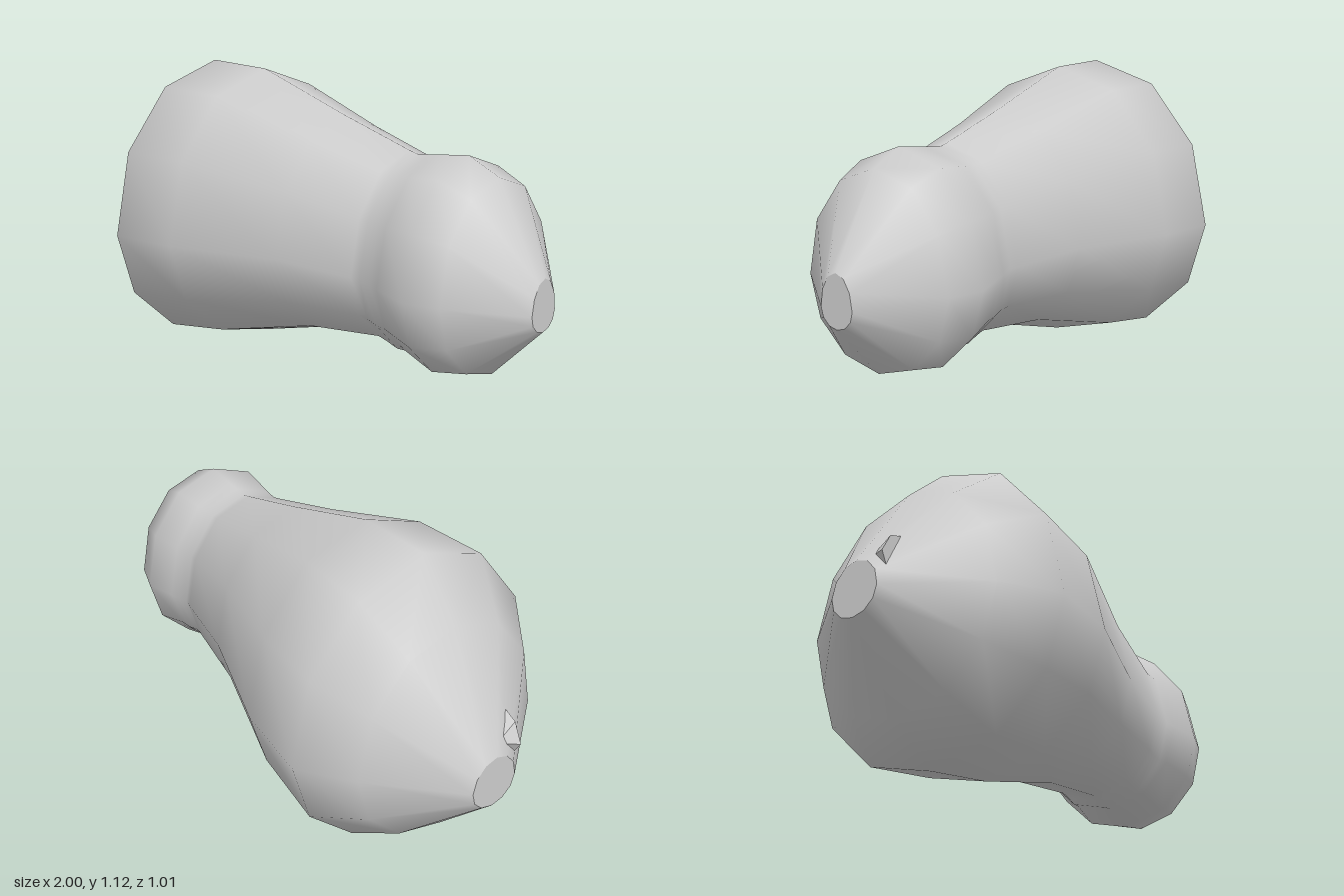
import * as THREE from 'three';

// Cross-sections along x: [x, bottom, top, half width, height of widest point]
const SECTIONS = [
  [-1, 0.37, 0.57, 0.09, 0.46],
  [-0.77, 0.12, 0.94, 0.37, 0.49],
  [-0.595, 0.005, 1.12, 0.503, 0.49],
  [-0.3, 0.06, 1.11, 0.477, 0.5],
  [0.12, 0.18, 0.98, 0.345, 0.51],
  [0.43, 0.22, 0.893, 0.287, 0.5],
  [0.465, 0.208, 0.885, 0.281, 0.5],
  [0.515, 0.195, 0.89, 0.288, 0.49],
  [0.555, 0.2, 0.895, 0.297, 0.49],
  [0.685, 0.16, 0.91, 0.325, 0.48],
  [0.81, 0.185, 0.855, 0.285, 0.48],
  [1, 0.38, 0.56, 0.063, 0.445],
];
const SIDES = 12;

// One egg-shaped ring of points
function ring([x, bottom, top, width, mid]) {
  return Array.from({ length: SIDES }, (_, j) => {
    const a = (j / SIDES) * Math.PI * 2;
    const s = Math.sin(a);
    const y = mid + s * (s > 0 ? top - mid : mid - bottom);
    return [x, y, width * Math.cos(a)];
  });
}

function makeGeometry(points, index) {
  const g = new THREE.BufferGeometry();
  g.setAttribute('position', new THREE.Float32BufferAttribute(points.flat(), 3));
  g.setIndex(index);
  g.computeVertexNormals();
  return g;
}

// Smooth skin joining the rings
function bodyGeometry() {
  const index = [];
  for (let i = 0; i < SECTIONS.length - 1; i++) {
    for (let j = 0; j < SIDES; j++) {
      const k = (j + 1) % SIDES;
      const a = i * SIDES + j, b = a + SIDES;
      const c = i * SIDES + k, d = c + SIDES;
      index.push(a, b, c, b, d, c);
    }
  }
  return makeGeometry(SECTIONS.flatMap(ring), index);
}

// Flat cap closing one end
function capGeometry(section, facesRight) {
  const index = [];
  for (let j = 1; j < SIDES - 1; j++) {
    index.push(0, ...(facesRight ? [j + 1, j] : [j, j + 1]));
  }
  return makeGeometry(ring(section), index);
}

// Small pointed chip with a four-cornered outer face
function chipGeometry() {
  const points = [
    [-1, 0.575, 0.102], [-0.97, 0.52, 0.102], [-0.91, 0.668, 0.102],
    [-0.965, 0.645, 0.102], [-0.965, 0.59, 0.03],
  ];
  const index = [0, 1, 2, 0, 2, 3];
  for (let j = 0; j < 4; j++) index.push((j + 1) % 4, j, 4);
  const g = makeGeometry(points, index).toNonIndexed();
  g.computeVertexNormals();
  return g;
}

export function createModel() {
  const group = new THREE.Group();
  const grey = new THREE.MeshStandardMaterial({ color: 0xcccccc });
  grey.name = 'light grey';
  const add = (name, geometry) => {
    const mesh = new THREE.Mesh(geometry, grey);
    mesh.name = name;
    group.add(mesh);
  };

  add('body', bodyGeometry());
  add('wideEndCap', capGeometry(SECTIONS[0], false));
  add('narrowEndCap', capGeometry(SECTIONS[SECTIONS.length - 1], true));
  add('chip', chipGeometry());
  return group;
}
